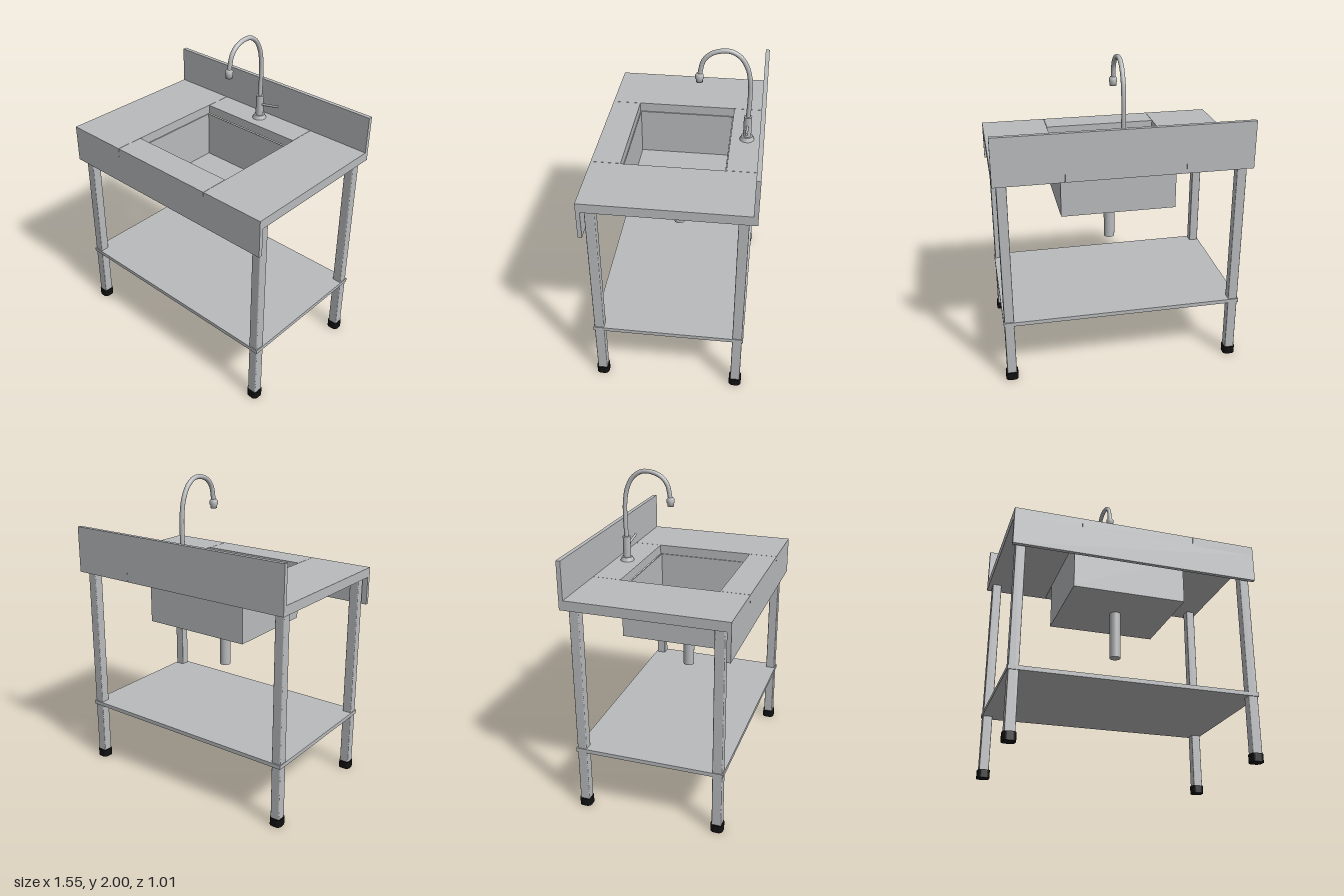
import * as THREE from 'three';

const steel = new THREE.MeshStandardMaterial({ name: 'brushed steel', color: 0xb8babc });
const rubber = new THREE.MeshStandardMaterial({ name: 'black rubber', color: 0x111111 });

export function createModel() {
  const model = new THREE.Group();
  model.name = 'sinkTable';

  const add = (name, geometry, material = steel, parent = model) => {
    const mesh = new THREE.Mesh(geometry, material);
    mesh.name = name;
    parent.add(mesh);
    return mesh;
  };

  // Box from its minimum and maximum on each axis
  const box = (name, x0, x1, y0, y1, z0, z1, parent = model) => {
    const mesh = add(name, new THREE.BoxGeometry(x1 - x0, y1 - y0, z1 - z0), steel, parent);
    mesh.position.set((x0 + x1) / 2, (y0 + y1) / 2, (z0 + z1) / 2);
    return mesh;
  };

  const cylinder = (name, r, y0, y1, z, parent = model, rTop = r) => {
    const mesh = add(name, new THREE.CylinderGeometry(rTop, r, y1 - y0, 32), steel, parent);
    mesh.position.set(0, (y0 + y1) / 2, z);
    return mesh;
  };

  // Upright post with a rounded square section
  const post = (half, r, height) => {
    const s = new THREE.Shape();
    const c = half - r;
    s.absarc(c, c, r, 0, Math.PI / 2);
    s.absarc(-c, c, r, Math.PI / 2, Math.PI);
    s.absarc(-c, -c, r, Math.PI, Math.PI * 1.5);
    s.absarc(c, -c, r, Math.PI * 1.5, Math.PI * 2);
    s.closePath();
    return new THREE.ExtrudeGeometry(s, { depth: height, bevelEnabled: false, curveSegments: 6 })
      .rotateX(-Math.PI / 2);
  };

  // Worktop panels around the basin opening
  const worktop = new THREE.Group();
  worktop.name = 'worktop';
  model.add(worktop);
  for (const [side, s] of [['left', 1], ['right', -1]]) {
    const panel = box(side + 'Worktop', 0.36, 0.775, 1.34, 1.4, -0.505, 0.505, worktop);
    panel.position.x *= s;
  }
  box('backWorktop', -0.358, 0.358, 1.34, 1.4, -0.505, -0.3, worktop);
  box('frontWorktop', -0.358, 0.358, 1.34, 1.4, 0.325, 0.505, worktop);
  box('backsplash', -0.775, 0.775, 1.4, 1.635, -0.505, -0.478);
  box('frontApron', -0.775, 0.775, 1.16, 1.34, 0.48, 0.505);

  // Open basin with thin walls
  const basin = new THREE.Group();
  basin.name = 'basin';
  model.add(basin);
  box('basinFloor', -0.36, 0.36, 1.03, 1.036, -0.295, 0.328, basin);
  box('basinLeftWall', 0.353, 0.36, 1.036, 1.34, -0.295, 0.328, basin);
  box('basinRightWall', -0.36, -0.353, 1.036, 1.34, -0.295, 0.328, basin);
  box('basinBackWall', -0.353, 0.353, 1.036, 1.34, -0.295, -0.289, basin);
  box('basinFrontWall', -0.353, 0.353, 1.036, 1.34, 0.32, 0.328, basin);
  cylinder('drainPipe', 0.035, 0.72, 1.03, 0.02);

  // Legs with rubber feet
  for (const x of [-0.72, 0.72]) {
    for (const z of [-0.428, 0.434]) {
      add('leg', post(0.03, 0.006, 1.29)).position.set(x, 0.05, z);
      add('foot', post(0.039, 0.027, 0.05), rubber).position.set(x, 0, z);
    }
  }
  box('shelf', -0.755, 0.755, 0.395, 0.42, -0.465, 0.47);

  // Gooseneck tap
  const tap = new THREE.Group();
  tap.name = 'tap';
  model.add(tap);
  cylinder('tapFlange', 0.045, 1.4, 1.425, -0.4, tap, 0.035);
  cylinder('tapBody', 0.025, 1.42, 1.56, -0.4, tap);
  const path = new THREE.CatmullRomCurve3([
    [1.55, -0.4], [1.68, -0.405], [1.79, -0.402], [1.88, -0.383], [1.95, -0.34],
    [1.985, -0.275], [1.97, -0.18], [1.92, -0.125], [1.82, -0.1],
  ].map(([y, z]) => new THREE.Vector3(0, y, z)));
  add('tapSpout', new THREE.TubeGeometry(path, 48, 0.014, 16), steel, tap);
  add('tapNozzle', new THREE.LatheGeometry([
    [0, 1.78], [0.021, 1.78], [0.021, 1.797], [0.025, 1.803], [0.025, 1.823], [0.016, 1.835], [0, 1.835],
  ].map(([r, y]) => new THREE.Vector2(r, y)), 24), steel, tap).position.z = -0.1;

  // Side lever
  const lever = add('tapLever', new THREE.CylinderGeometry(0.008, 0.008, 0.14, 16), steel, tap);
  lever.position.set(0.086, 1.512, -0.4);
  lever.rotation.z = -Math.PI / 2 + 0.2;

  return model;
}
